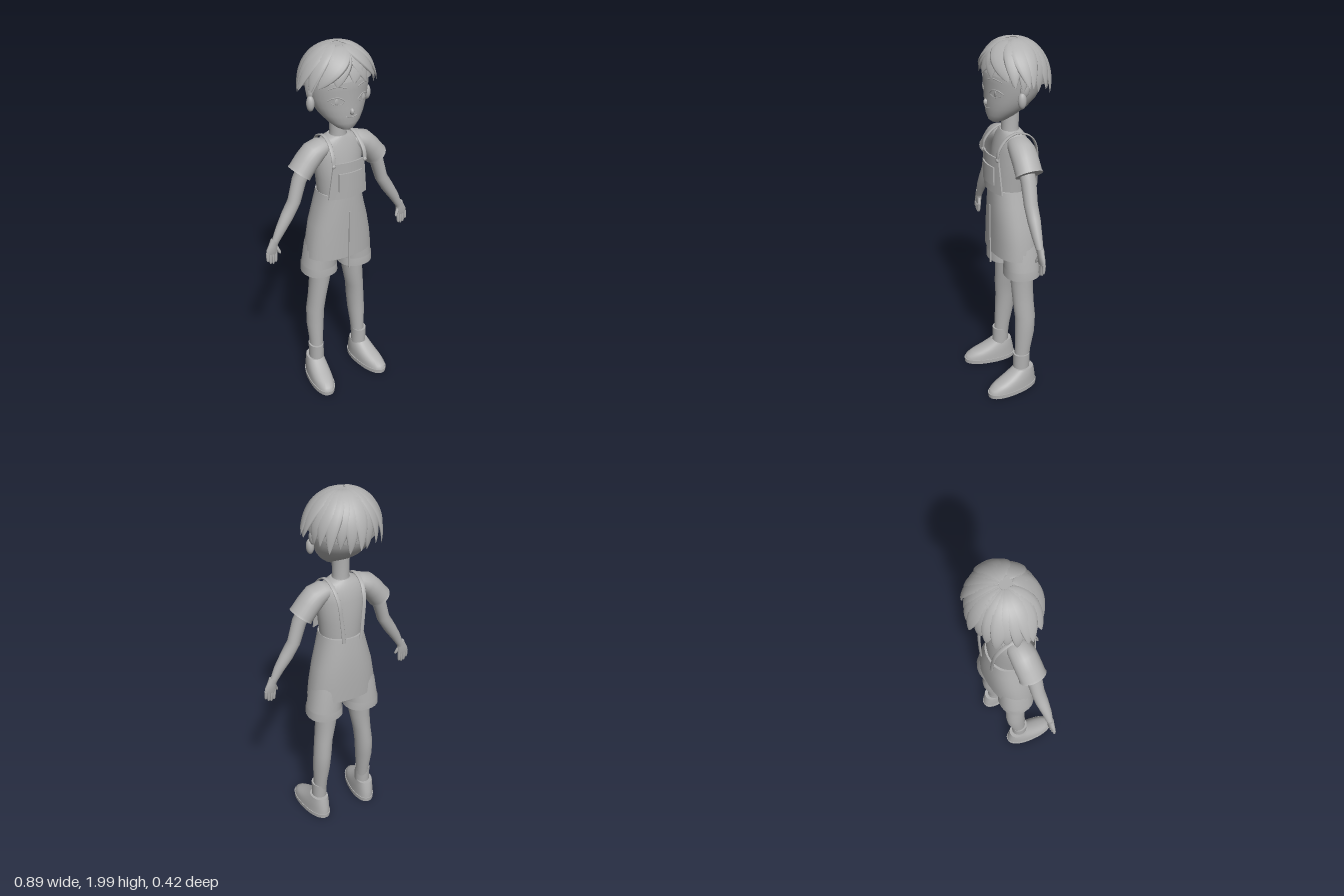
import * as THREE from 'three';

const clay = new THREE.MeshStandardMaterial({ color: 0xb0b0b0 });
clay.name = 'plain grey';
clay.side = THREE.DoubleSide;

const V = (x, y, z) => new THREE.Vector3(x, y, z);

// Skin over elliptical sections [x, y, z, halfWidth, halfDepth].
// ref(c) gives the depth direction; without it the sections lie flat.
function loft(secs, { n = 24, ref = null, e = 1 } = {}) {
  const pos = [], idx = [], C = secs.map(s => V(s[0], s[1], s[2]));
  const ring = i => {
    let u = V(1, 0, 0), w = V(0, 0, 1);
    if (ref) {
      const t = C[Math.min(i + 1, C.length - 1)].clone().sub(C[Math.max(i - 1, 0)]).normalize();
      u = new THREE.Vector3().crossVectors(t, ref(C[i])).normalize();
      w = new THREE.Vector3().crossVectors(u, t);
    }
    const round = v => Math.sign(v) * Math.abs(v) ** e;
    for (let j = 0; j < n; j++) {
      const a = (j / n) * Math.PI * 2;
      const p = C[i].clone().addScaledVector(u, secs[i][3] * round(Math.cos(a)))
        .addScaledVector(w, secs[i][4] * round(Math.sin(a)));
      pos.push(p.x, p.y, p.z);
    }
  };
  secs.forEach((_, i) => ring(i));
  for (let i = 0; i < secs.length - 1; i++) for (let j = 0; j < n; j++) {
    const a = i * n + j, b = i * n + (j + 1) % n;
    idx.push(a, a + n, b, b, a + n, b + n);
  }
  // end caps with their own vertices, so the rims stay sharp
  for (const i of [0, secs.length - 1]) {
    const base = pos.length / 3;
    ring(i);
    pos.push(...C[i].toArray());
    for (let j = 0; j < n; j++) {
      const a = base + j, b = base + (j + 1) % n;
      idx.push(...(i ? [b, a, base + n] : [a, b, base + n]));
    }
  }
  const g = new THREE.BufferGeometry();
  g.setAttribute('position', new THREE.Float32BufferAttribute(pos, 3));
  g.setIndex(idx);
  g.computeVertexNormals();
  return g;
}

// flat section from height, half width, front z, back z and centre x
const slab = (y, rx, zf, zb, cx = 0) => [cx, y, (zf + zb) / 2, rx, (zf - zb) / 2];
const toFront = () => V(0, 0, 1);

const headSecs = [
  [1.578, 0.025, 0.085, 0.04], [1.59, 0.05, 0.1, 0.01], [1.62, 0.085, 0.11, -0.04],
  [1.66, 0.117, 0.114, -0.1], [1.70, 0.138, 0.115, -0.14], [1.74, 0.152, 0.115, -0.165],
  [1.79, 0.162, 0.118, -0.178], [1.84, 0.163, 0.12, -0.18], [1.9, 0.148, 0.105, -0.165],
  [1.95, 0.11, 0.07, -0.13], [1.98, 0.05, 0.01, -0.07],
];

// z of the face surface
function faceZ(x, y) {
  const i = headSecs.findIndex(s => s[0] > y), A = headSecs[i - 1], B = headSecs[i];
  const k = (y - A[0]) / (B[0] - A[0]);
  const [rx, zf, zb] = [1, 2, 3].map(q => A[q] + (B[q] - A[q]) * k);
  return (zf + zb) / 2 + (zf - zb) / 2 * Math.sqrt(1 - (x / rx) ** 2);
}

export function createModel() {
  const model = new THREE.Group();
  const add = (name, geo, parent = model) => {
    const m = new THREE.Mesh(geo, clay);
    m.name = name;
    parent.add(m);
    return m;
  };
  const ball = (name, x, y, z, a, b, c, parent) => {
    const m = add(name, new THREE.SphereGeometry(1, 20, 14), parent);
    m.position.set(x, y, z);
    m.scale.set(a, b, c);
    return m;
  };
  const faceLine = (name, pts, r) => add(name, new THREE.TubeGeometry(
    new THREE.CatmullRomCurve3(pts.map(([x, y]) => V(x, y, faceZ(x, y)))), 14, r, 5));

  // head and face
  add('head', loft(headSecs.map(s => slab(...s)), { n: 36 }));
  add('neck', loft([slab(1.48, 0.055, 0.035, -0.07), slab(1.54, 0.043, 0.03, -0.06), slab(1.66, 0.045, 0.03, -0.065)]));
  ball('nose', 0, 1.682, 0.113, 0.011, 0.017, 0.016);
  faceLine('mouth', [[-0.032, 1.658], [0, 1.652], [0.032, 1.658]], 0.0025);
  for (const s of [1, -1]) {
    faceLine('upperEyelid', [[s * 0.035, 1.738], [s * 0.06, 1.757], [s * 0.09, 1.757], [s * 0.112, 1.742]], 0.003);
    faceLine('lowerEyelid', [[s * 0.042, 1.732], [s * 0.07, 1.72], [s * 0.098, 1.73]], 0.0018);
    faceLine('eyebrow', [[s * 0.03, 1.805], [s * 0.07, 1.815], [s * 0.11, 1.802]], 0.003);
    ball('iris', s * 0.073, 1.739, faceZ(0.073, 1.739), 0.013, 0.016, 0.003);
    ball('ear', s * 0.158, 1.765, -0.02, 0.014, 0.035, 0.024);
    ball('earring', s * 0.162, 1.715, -0.005, 0.02, 0.04, 0.022);
  }

  // hair: a tilted cap covered by leaf-shaped locks
  const hair = new THREE.Group();
  hair.name = 'hair';
  model.add(hair);
  const hc = V(0, 1.8, -0.033);
  const cap = add('hairCap', new THREE.SphereGeometry(1, 36, 16, 0, Math.PI * 2, 0, Math.PI * 0.5), hair);
  cap.position.copy(hc);
  cap.scale.set(0.177, 0.18, 0.162);
  cap.rotation.x = -0.22;
  const lock = (az0, az1, phi0, phi1, width, flare = 0.04, name = 'hairLock') => {
    const secs = [];
    for (let i = 0; i <= 14; i++) {
      const t = i / 14, az = az0 + (az1 - az0) * t, phi = phi0 + (phi1 - phi0) * t;
      const k = 1 + flare * t ** 3, w = 0.04 + 0.96 * Math.sin(Math.PI * t ** 0.8) ** 0.8;
      secs.push([hc.x + 0.182 * k * Math.sin(phi) * Math.sin(az), hc.y + 0.186 * k * Math.cos(phi),
        hc.z + 0.163 * k * Math.sin(phi) * Math.cos(az), width * w, 0.013 * w]);
    }
    add(name, loft(secs, { n: 12, ref: c => c.clone().sub(hc) }), hair);
  };
  for (let i = 0; i < 17; i++) {
    const az = 1.1 + i / 16 * (Math.PI * 2 - 2.2), back = -Math.cos(az);
    lock(az + 0.15, az, 0.12, 1.63 + 0.22 * Math.max(back, 0) + (i % 2) * 0.1, 0.042, 0.06 + 0.06 * (i % 3));
  }
  for (const s of [1, -1]) {
    lock(s * 1.2, s * 1.5, 0.2, 1.62, 0.045, 0.2, 'sideLock');
    lock(s * 1.0, s * 1.15, 0.2, 1.62, 0.045, 0.14, 'sideLock');
  }
  lock(-0.1, -0.95, 0.25, 1.52, 0.062, 0.06, 'fringe');
  lock(0.35, 0.95, 0.25, 1.5, 0.06, 0.06, 'fringe');
  lock(-0.3, -0.45, 0.3, 1.48, 0.062, 0.03, 'fringe');
  lock(0.2, 0.42, 0.3, 1.46, 0.055, 0.03, 'fringe');
  lock(0.3, 0.0, 0.3, 1.42, 0.062, 0.05, 'fringe');

  // shirt and dungarees
  add('shirt', loft([slab(1.18, 0.112, 0.085, -0.115), slab(1.3, 0.125, 0.088, -0.12), slab(1.42, 0.14, 0.07, -0.112),
    slab(1.48, 0.128, 0.052, -0.095), slab(1.51, 0.095, 0.042, -0.08), slab(1.525, 0.055, 0.035, -0.068)], { n: 32 }));
  add('dungarees', loft([slab(0.84, 0.195, 0.1, -0.14), slab(0.93, 0.185, 0.1, -0.142), slab(1.03, 0.166, 0.1, -0.142),
    slab(1.13, 0.138, 0.1, -0.136), slab(1.215, 0.117, 0.098, -0.126)], { n: 36, e: 0.85 }));
  add('frontSeam', new THREE.BoxGeometry(0.006, 0.35, 0.008)).position.set(0, 0.945, 0.102);
  const panel = (name, w, h, y, z, taper) => {
    const g = new THREE.BoxGeometry(w, h, 0.008, 14, 4, 1), p = g.attributes.position;
    for (let i = 0; i < p.count; i++) {
      const x = p.getX(i) * (1 - taper * (p.getY(i) / h + 0.5));
      p.setX(i, x);
      p.setZ(i, p.getZ(i) - 2.2 * x * x);
    }
    g.computeVertexNormals();
    add(name, g).position.set(0, y, z);
  };
  panel('bib', 0.228, 0.2, 1.31, 0.108, 0.2);
  panel('pocket', 0.135, 0.1, 1.305, 0.116, 0);

  for (const s of [1, -1]) {
    // shoulder straps
    const path = new THREE.CatmullRomCurve3([V(s * 0.092, 1.4, 0.098), V(s * 0.091, 1.45, 0.088), V(s * 0.085, 1.505, 0.04),
      V(s * 0.083, 1.525, -0.02), V(s * 0.08, 1.5, -0.09), V(s * 0.072, 1.44, -0.13), V(s * 0.06, 1.32, -0.142), V(s * 0.05, 1.21, -0.145)]);
    add('strap', loft(path.getPoints(30).map(p => [p.x, p.y, p.z, 0.011, 0.004]),
      { n: 8, e: 0.6, ref: c => V(0, c.y - 1.3, c.z + 0.02) }));
    ball('strapButton', s * 0.092, 1.4, 0.098, 0.011, 0.011, 0.007);

    // shorts
    add('shortsLeg', loft([slab(0.728, 0.1, 0.066, -0.132, s * 0.113), slab(0.775, 0.098, 0.066, -0.132, s * 0.113),
      slab(0.778, 0.094, 0.063, -0.129, s * 0.113), slab(0.9, 0.088, 0.066, -0.125, s * 0.1),
      slab(1.0, 0.075, 0.065, -0.11, s * 0.08)], { n: 28, e: 0.9 }));

    // sleeve and arm
    add('sleeve', loft([[0.07, 1.478, -0.02, 0.03, 0.05], [0.1, 1.472, -0.018, 0.048, 0.062], [0.145, 1.45, -0.016, 0.06, 0.069],
      [0.185, 1.41, -0.016, 0.061, 0.07], [0.222, 1.364, -0.015, 0.061, 0.07], [0.23, 1.354, -0.015, 0.063, 0.073]]
      .map(([x, ...r]) => [s * x, ...r]), { ref: toFront }));
    add('arm', loft([[0.18, 1.42, -0.01, 0.04, 0.042], [0.235, 1.32, -0.008, 0.037, 0.04], [0.268, 1.21, -0.006, 0.034, 0.036],
      [0.31, 1.14, -0.004, 0.034, 0.034], [0.355, 1.07, 0, 0.028, 0.026], [0.388, 1.01, 0, 0.02, 0.018], [0.395, 0.99, 0, 0.019, 0.015]]
      .map(([x, ...r]) => [s * x, ...r]), { ref: toFront }));

    // hand
    const hand = new THREE.Group();
    hand.name = s > 0 ? 'leftHand' : 'rightHand';
    model.add(hand);
    add('palm', loft([[0.392, 1.02, 0, 0.022, 0.018], [0.402, 0.985, 0, 0.027, 0.016], [0.41, 0.96, 0, 0.033, 0.014], [0.412, 0.94, 0, 0.03, 0.01]]
      .map(([x, ...r]) => [s * x, ...r]), { n: 16, ref: toFront }), hand);
    const digit = (name, x0, y0, x1, y1, z1) => add(name, loft([0, 0.4, 0.8, 0.95, 1].map((t, i) => {
      const r = [0.009, 0.009, 0.008, 0.005, 0.001][i];
      return [s * (x0 + (x1 - x0) * t), y0 + (y1 - y0) * t, z1 * t, r, r];
    }), { n: 10, ref: toFront }), hand);
    digit('thumb', 0.388, 0.985, 0.367, 0.935, 0.012);
    [0.885, 0.878, 0.883, 0.9].forEach((y, i) => digit('finger', 0.388 + i * 0.016, 0.95, 0.393 + i * 0.015, y, 0.004));

    // leg and sock
    add('leg', loft([slab(0.12, 0.037, 0.02, -0.06, s * 0.145), slab(0.25, 0.039, 0.016, -0.076, s * 0.142),
      slab(0.36, 0.048, 0.014, -0.098, s * 0.14), slab(0.46, 0.05, 0.012, -0.105, s * 0.134), slab(0.55, 0.05, 0.02, -0.1, s * 0.124),
      slab(0.66, 0.058, 0.024, -0.1, s * 0.108), slab(0.8, 0.068, 0.03, -0.105, s * 0.1)]));
    add('sock', loft([slab(0.1, 0.042, 0.028, -0.066, s * 0.147), slab(0.22, 0.043, 0.028, -0.07, s * 0.147)]));

    // shoe, turned slightly outward
    const shoe = new THREE.Group();
    shoe.name = s > 0 ? 'leftShoe' : 'rightShoe';
    shoe.position.set(s * 0.155, 0, -0.02);
    shoe.rotation.y = s * 0.14;
    model.add(shoe);
    add('sole', loft([slab(0, 0.066, 0.222, -0.088), slab(0.025, 0.067, 0.224, -0.09)], { n: 32, e: 0.9 }), shoe);
    add('shoeUpper', loft([slab(0.025, 0.063, 0.219, -0.086), slab(0.045, 0.062, 0.212, -0.085), slab(0.065, 0.06, 0.178, -0.082),
      slab(0.085, 0.057, 0.13, -0.078), slab(0.11, 0.052, 0.082, -0.073), slab(0.13, 0.047, 0.05, -0.068)], { n: 32, e: 0.9 }), shoe);
  }
  return model;
}
